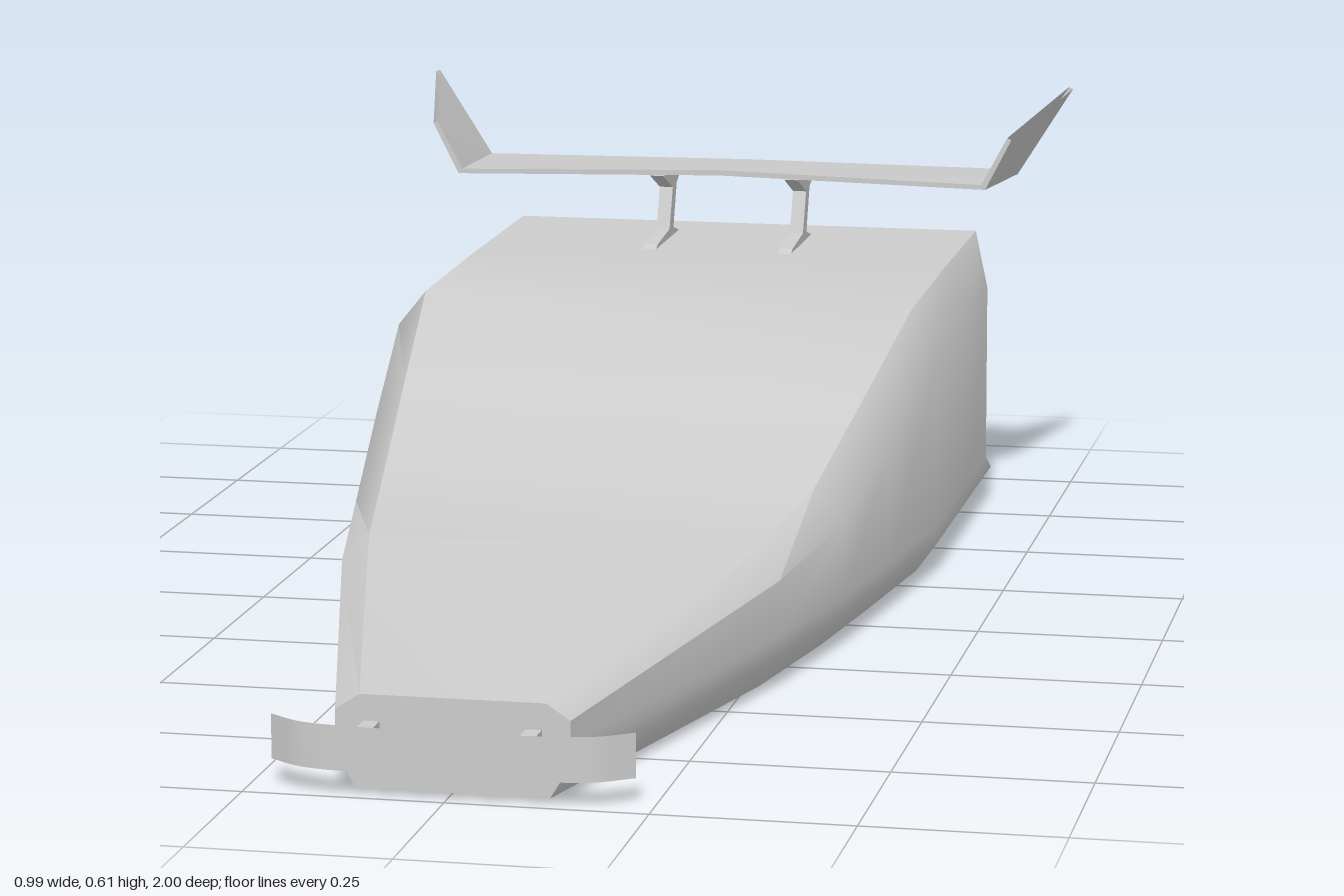
import * as THREE from 'three';
import { toCreasedNormals } from 'three/addons/utils/BufferGeometryUtils.js';

const grey = new THREE.MeshStandardMaterial({ color: 0xcccccc });
const greyDouble = new THREE.MeshStandardMaterial({ color: 0xcccccc, side: THREE.DoubleSide });

// Skin over rows of [x, y, z] points; closed joins the last point of a row to the first
function skin(rows, closed = false) {
  const n = rows[0].length, index = [];
  for (let i = 0; i < rows.length - 1; i++) {
    for (let j = 0; j < (closed ? n : n - 1); j++) {
      const k = (j + 1) % n;
      const a = i * n + j, b = i * n + k, c = (i + 1) * n + k, d = (i + 1) * n + j;
      index.push(a, d, c, a, c, b);
    }
  }
  const geometry = new THREE.BufferGeometry();
  geometry.setAttribute('position', new THREE.Float32BufferAttribute(rows.flat(2), 3));
  geometry.setIndex(index);
  geometry.computeVertexNormals();
  return geometry;
}

// Mirrors a half profile (top to bottom, on +x) into a full ring
const mirrorRing = (half) => [
  ...half.map(([x, y, z]) => [-x, y, z]),
  ...half.slice().reverse(),
];

export function createModel() {
  const model = new THREE.Group();
  const add = (name, geometry, material = grey) => {
    const mesh = new THREE.Mesh(geometry, material);
    mesh.name = name;
    model.add(mesh);
    return mesh;
  };

  // Body stations: z, half width, top half width, top y, shoulder y, bottom half width
  const stations = [
    [0.955, 0.145, 0.115, 0.12, 0.1, 0.12],
    [0.36, 0.292, 0.255, 0.18, 0.145, 0.265],
    [0.12, 0.335, 0.295, 0.217, 0.172, 0.305],
    [-0.1, 0.363, 0.322, 0.293, 0.245, 0.333],
    [-0.35, 0.392, 0.352, 0.38, 0.33, 0.362],
    [-0.65, 0.392, 0.352, 0.387, 0.33, 0.362],
  ];
  const halves = stations.map(([z, w, t, h, s, b]) => [
    [t, h, z], [w, s, z], [w, Math.min(0.07, s), z], [w, 0.045, z], [b, 0.003, z],
  ]);
  // Tail outline: upper lip, hollow back, lower lip
  const tail = [
    [0.352, 0.39, -0.98], [0.392, 0.33, -0.827], [0.392, 0.07, -0.835],
    [0.392, 0.045, -0.89], [0.362, 0.025, -0.89],
  ];
  const rings = [...halves, tail].map(mirrorRing);
  add('body', toCreasedNormals(skin(rings, true), 0.75));

  // Hollow back panel and flat nose face
  add('backPanel', skin(tail.map(([x, y, z]) => [[x, y, z], [-x, y, z]])));
  add('noseFace', skin(halves[0].map(([x, y, z]) => [[-x, y, z], [x, y, z]])));

  // Front wing: thin strip with swept-back ends
  const sweep = new THREE.CatmullRomCurve3(
    [[-0.225, 0.955], [-0.18, 0.985], [-0.1, 0.997], [0.1, 0.997], [0.18, 0.985], [0.225, 0.955]]
      .map(([x, z]) => new THREE.Vector3(x, 0, z)),
  ).getPoints(24);
  add('frontWing', skin([0.09, 0.034].map((y) => sweep.map((p) => [p.x, y, p.z]))), greyDouble);

  // Rear wing sections: x and y at the leading edge, x and y at the trailing edge, thickness
  const wingHalf = [
    [0.436, 0.565, 0.494, 0.608, 0.006, 0.003],
    [0.398, 0.49, 0.412, 0.476, 0.006, 0.007],
    [0, 0.499, 0, 0.478, 0, 0.008],
  ];
  const wing = [...wingHalf, ...wingHalf.slice(0, 2).reverse()
    .map(([xf, yf, xr, yr, tx, ty]) => [-xf, yf, -xr, yr, -tx, ty])];
  const wingRings = wing.map(([xf, yf, xr, yr, tx, ty]) => [
    [xf, yf, -0.745], [xr, yr, -1], [xr - tx, yr + ty, -1], [xf - tx, yf + ty, -0.745],
  ]);
  add('rearWing', toCreasedNormals(skin(wingRings, true), 0.5), greyDouble);

  // Side profile of a rear wing strut as (z, y): foot, leaning stem, head
  const strutShape = new THREE.Shape([
    [-0.72, 0.385], [-0.74, 0.393], [-0.83, 0.402], [-0.855, 0.462], [-0.78, 0.49],
    [-0.92, 0.48], [-0.885, 0.465], [-0.86, 0.4], [-0.92, 0.385],
  ].map(([z, y]) => new THREE.Vector2(-z, y)));

  for (const side of [-1, 1]) {
    const name = side > 0 ? 'left' : 'right';
    const strut = new THREE.ExtrudeGeometry(strutShape, { depth: 0.02, bevelEnabled: false });
    strut.translate(0, 0, -0.01).rotateY(Math.PI / 2);
    add(`${name}RearWingStrut`, strut).position.x = side * 0.102;

    // Short link between the nose and the front wing
    add(`${name}FrontWingStrut`, new THREE.BoxGeometry(0.02, 0.05, 0.05))
      .position.set(side * 0.1, 0.062, 0.97);
  }
  return model;
}
